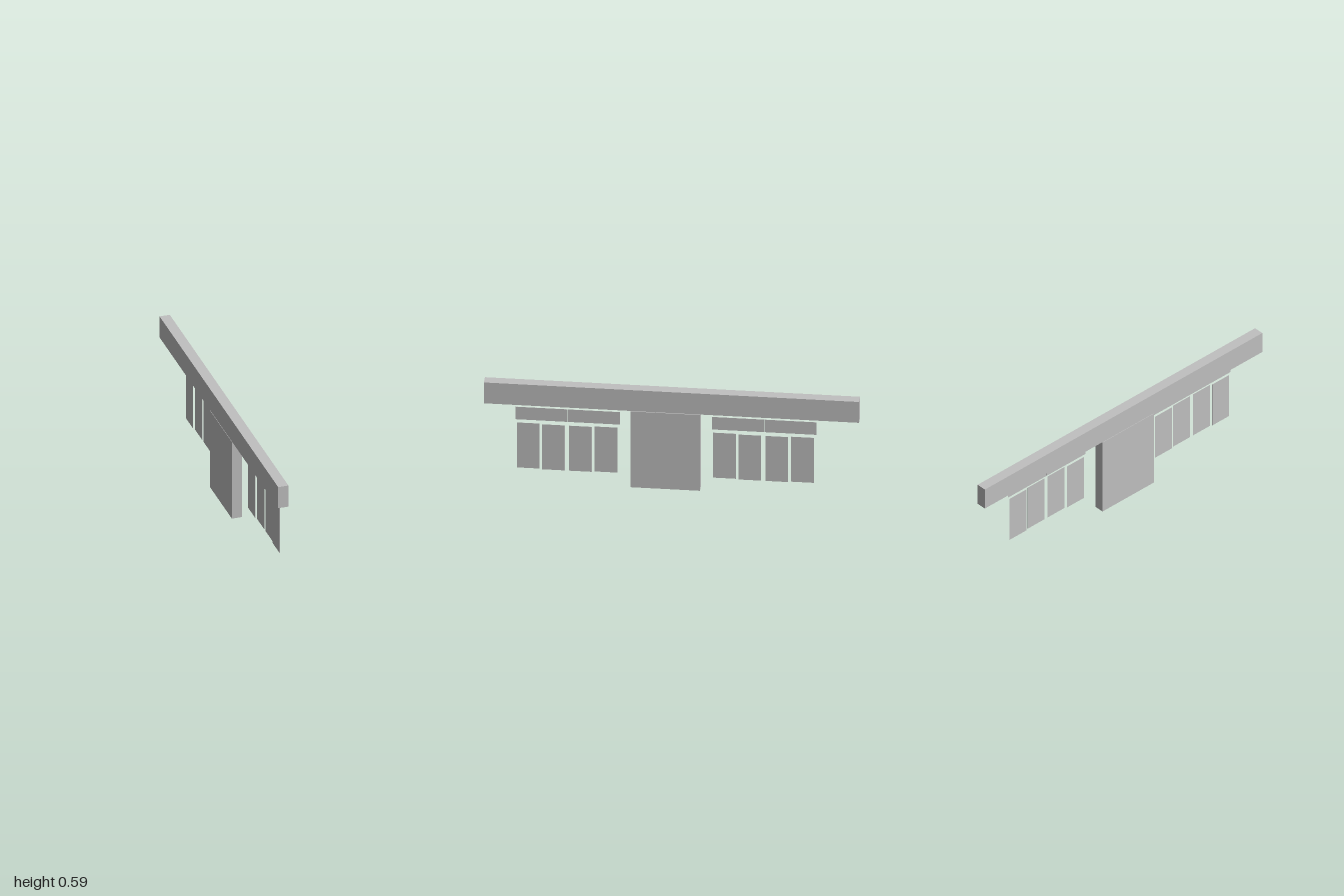
import * as THREE from 'three';

export function createModel() {
  const model = new THREE.Group();
  model.name = 'facadePanels';
  const grey = new THREE.MeshStandardMaterial({ color: 0xc0c0c0 });
  grey.name = 'plain grey';

  // Box given by its extents along each axis
  const block = (name, [x0, x1], [y0, y1], [z0, z1], parent = model) => {
    const mesh = new THREE.Mesh(new THREE.BoxGeometry(x1 - x0, y1 - y0, z1 - z0), grey);
    mesh.position.set((x0 + x1) / 2, (y0 + y1) / 2, (z0 + z1) / 2);
    mesh.name = name;
    parent.add(mesh);
  };

  // Long beam and the central slab beneath it
  block('beam', [-0.037, 0.02], [0.465, 0.592], [-1, 1]);
  block('centreSlab', [-0.037, 0.02], [0, 0.462], [-0.152, 0.219]);

  // Two window bays, each with two transom lights over four sliding panes
  const thickness = 0.001;
  const paneStarts = [0, 0.134, 0.278, 0.414];
  [['frontBay', 0.83], ['backBay', -0.217]].forEach(([name, zFront]) => {
    const bay = new THREE.Group();
    bay.name = name;
    for (let i = 0; i < 2; i++) {
      const z = zFront - i * 0.279;
      block('transom', [0.0275, 0.0275 + thickness], [0.383, 0.459], [z - 0.277, z], bay);
    }
    paneStarts.forEach((start, i) => {
      const x = i === 1 || i === 2 ? 0.036 : 0.03; // middle panes slide outside
      const z = zFront - 0.007 - start;
      block('pane', [x, x + thickness], [0.091, 0.365], [z - 0.122, z], bay);
    });
    model.add(bay);
  });

  return model;
}
